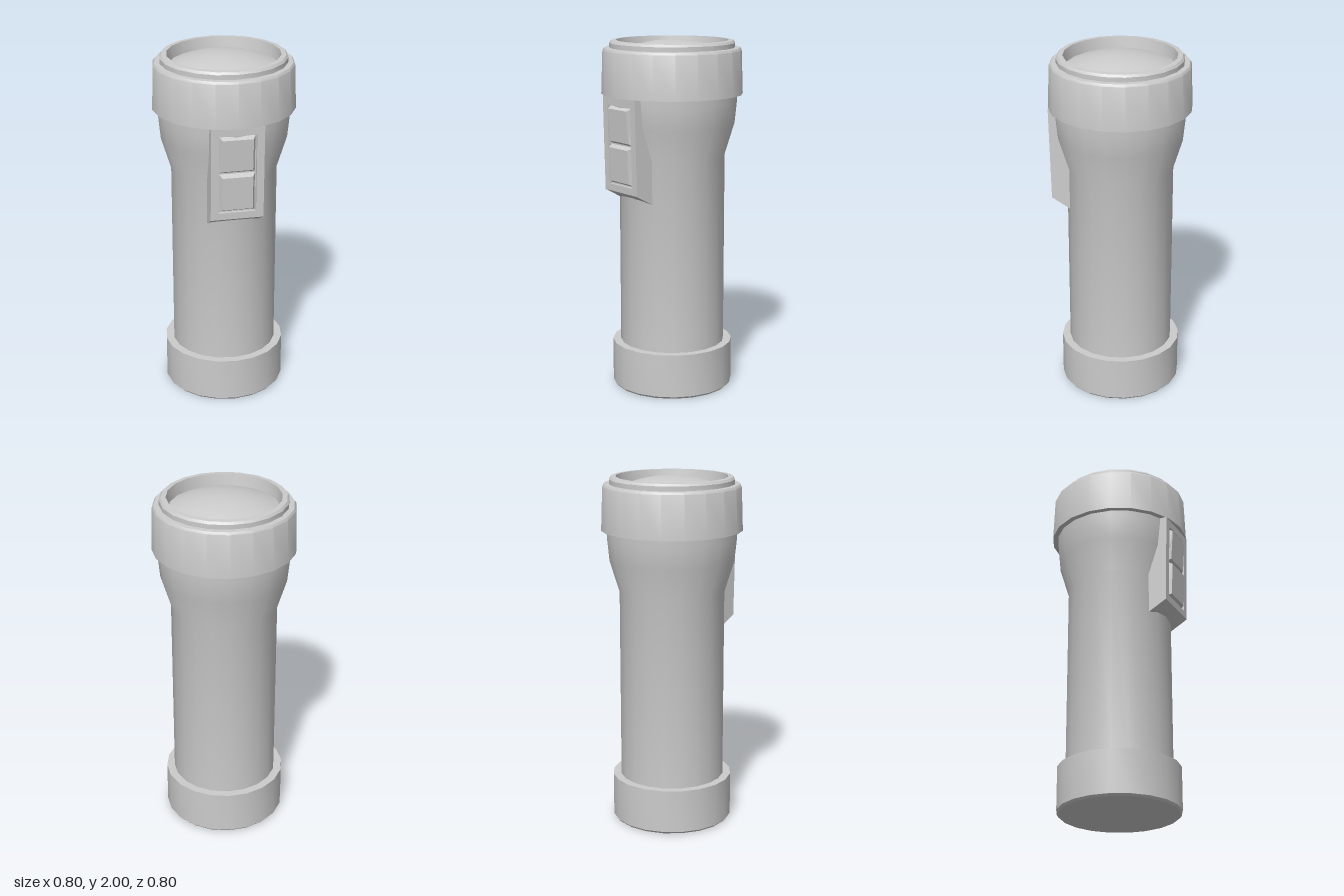
import * as THREE from 'three';
import { toCreasedNormals } from 'three/addons/utils/BufferGeometryUtils.js';

const SIDES = 20;
const material = new THREE.MeshStandardMaterial({ color: 0xcccccc });

function addMesh(parent, name, geometry) {
  const mesh = new THREE.Mesh(geometry, material);
  mesh.name = name;
  parent.add(mesh);
  return mesh;
}

// Round part from a [radius, height] profile, with sharp edges kept
function turned(parent, name, profile, crease = 0.6) {
  const points = profile.map(([r, y]) => new THREE.Vector2(r, y));
  return addMesh(parent, name, toCreasedNormals(new THREE.LatheGeometry(points, SIDES), crease));
}

// Applies a rule to every vertex and gives flat faces
function reshape(geometry, rule) {
  const flat = geometry.index ? geometry.toNonIndexed() : geometry;
  const pos = flat.attributes.position;
  const v = new THREE.Vector3();
  for (let i = 0; i < pos.count; i++) {
    rule(v.fromBufferAttribute(pos, i));
    pos.setXYZ(i, v.x, v.y, v.z);
  }
  flat.computeVertexNormals();
  return flat;
}

function rectangle(path, halfWidth, bottom, top) {
  path.moveTo(-halfWidth, bottom);
  path.lineTo(halfWidth, bottom);
  path.lineTo(halfWidth, top);
  path.lineTo(-halfWidth, top);
  path.closePath();
  return path;
}

// Switch parts are laid out with z = 0 on the housing face, which leans slightly
const BOTTOM = 1.17, TOP = 1.7;
function leanOntoBody(v) {
  const faceZ = 0.363 + (v.y - BOTTOM) * 0.024;
  if (v.y < BOTTOM + 0.005) v.y += v.z * 0.55; // slanted underside
  v.z += faceZ;
}

function createSwitch() {
  const group = new THREE.Group();
  group.name = 'switch';
  const recess = 0.018;

  // Front plate with the button opening
  const shape = rectangle(new THREE.Shape(), 0.147, BOTTOM, TOP);
  shape.holes.push(rectangle(new THREE.Path(), 0.105, 1.21, 1.655));
  const plate = new THREE.ExtrudeGeometry(shape, { depth: recess, bevelEnabled: false });
  plate.translate(0, 0, -recess);
  addMesh(group, 'switchPlate', reshape(plate, leanOntoBody));

  // Housing behind the plate, running into the barrel
  const depth = 0.12;
  const housing = new THREE.BoxGeometry(0.294, TOP - BOTTOM, depth);
  housing.translate(0, (TOP + BOTTOM) / 2, -recess - depth / 2);
  addMesh(group, 'switchHousing', reshape(housing, leanOntoBody));

  // Two tapered buttons, each proudest at its upper edge
  const buttons = [
    { name: 'upperButton', bottom: 1.44, top: 1.65, low: 0.004, high: 0.012 },
    { name: 'lowerButton', bottom: 1.215, top: 1.435, low: 0.008, high: 0.013 },
  ];
  for (const { name, bottom, top, low, high } of buttons) {
    const middle = (bottom + top) / 2;
    const button = new THREE.BoxGeometry(0.2, top - bottom, 1);
    addMesh(group, name, reshape(button, (v) => {
      const front = v.z > 0, upper = v.y > 0;
      v.z = front ? (upper ? high : low) : -recess - 0.002;
      if (front) {
        v.x *= 0.84;
        v.y *= 0.86;
      }
      v.y += middle;
      leanOntoBody(v);
    }));
  }
  return group;
}

export function createModel() {
  const model = new THREE.Group();
  model.name = 'flashlight';

  // Barrel flaring into the head
  turned(model, 'barrel', [
    [0.3, 0.2], [0.3, 1.35], [0.355, 1.53], [0.368, 1.66], [0.372, 1.75],
  ]);

  // Tail cap with a small bottom bevel
  turned(model, 'tailCap', [
    [0, 0], [0.335, 0], [0.346, 0.012], [0.346, 0.26], [0.295, 0.26],
  ]);

  // Collar around the head
  turned(model, 'headCollar', [
    [0.36, 1.7], [0.4, 1.7], [0.391, 1.945], [0.382, 1.958], [0.34, 1.96],
  ]);

  // Raised rim and its inner wall
  turned(model, 'lensRim', [
    [0.353, 1.95], [0.353, 1.985], [0.343, 1.998], [0.315, 2], [0.303, 1.925],
  ]);

  // Domed lens as a shallow spherical cap
  const rise = 0.067, edge = 0.305;
  const radius = (edge * edge + rise * rise) / (2 * rise);
  const dome = [];
  for (let i = 0; i <= 8; i++) {
    const a = Math.asin(edge / radius) * (1 - i / 8);
    dome.push([radius * Math.sin(a), 2 - radius * (1 - Math.cos(a))]);
  }
  turned(model, 'lens', dome);

  model.add(createSwitch());
  return model;
}
